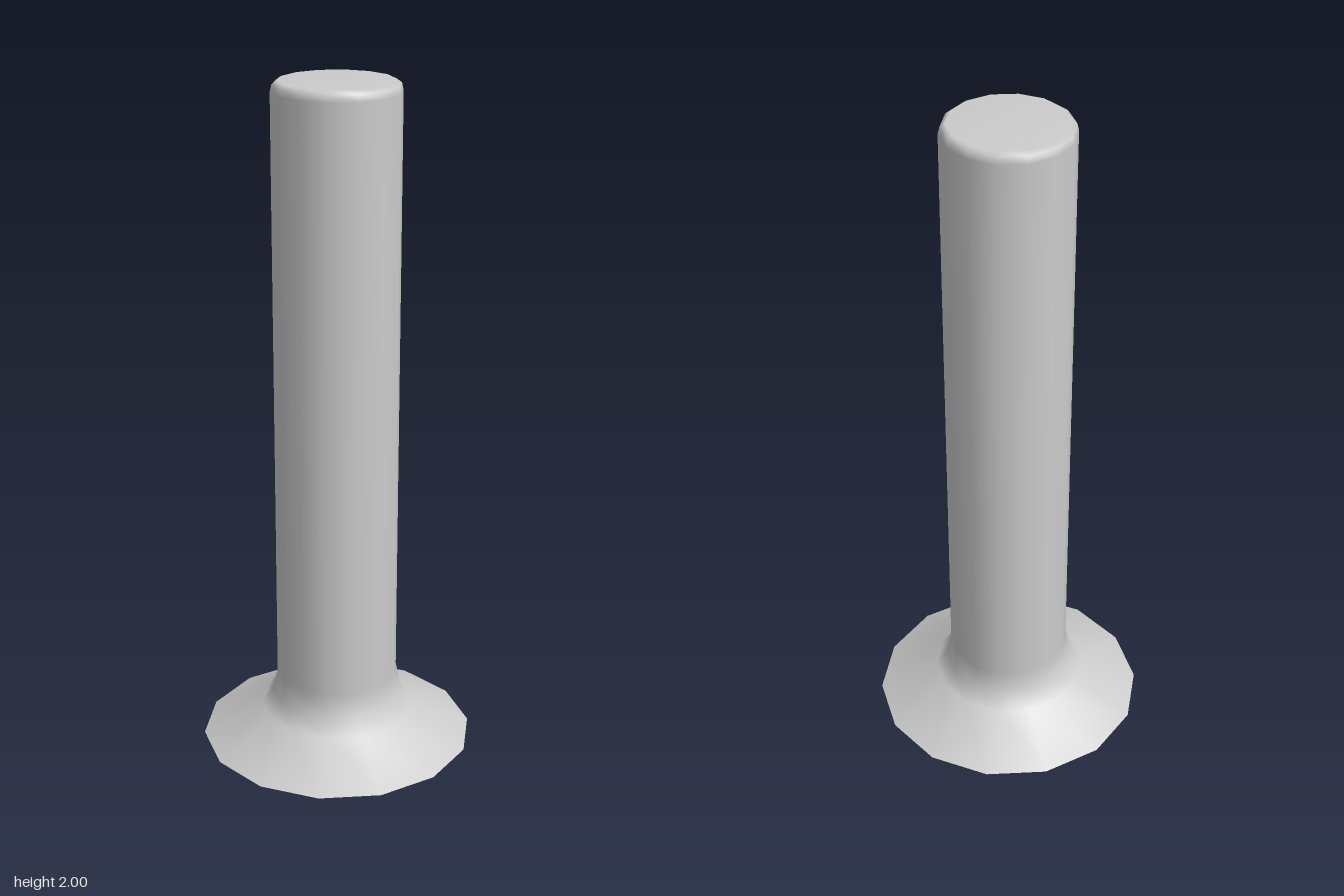
import * as THREE from 'three';

const SIDES = 14;

export function createModel() {
  const group = new THREE.Group();
  group.name = 'flaredPost';

  // Open flared foot, straight shaft and softly bevelled cap in one smooth profile
  const profile = [
    [0.41, 0], [0.23, 0.093], [0.197, 0.145], [0.182, 0.21],
    [0.182, 1.97], [0.177, 1.99], [0.163, 2], [0, 2],
  ].map(([r, y]) => new THREE.Vector2(r, y));

  // Start at a quarter turn so that corners lie on the x axis
  const geometry = new THREE.LatheGeometry(profile, SIDES, Math.PI / 2);
  const material = new THREE.MeshStandardMaterial({ color: 0xcccccc, side: THREE.DoubleSide });
  const post = new THREE.Mesh(geometry, material);
  post.name = 'postWithFlaredFoot';
  group.add(post);

  return group;
}
